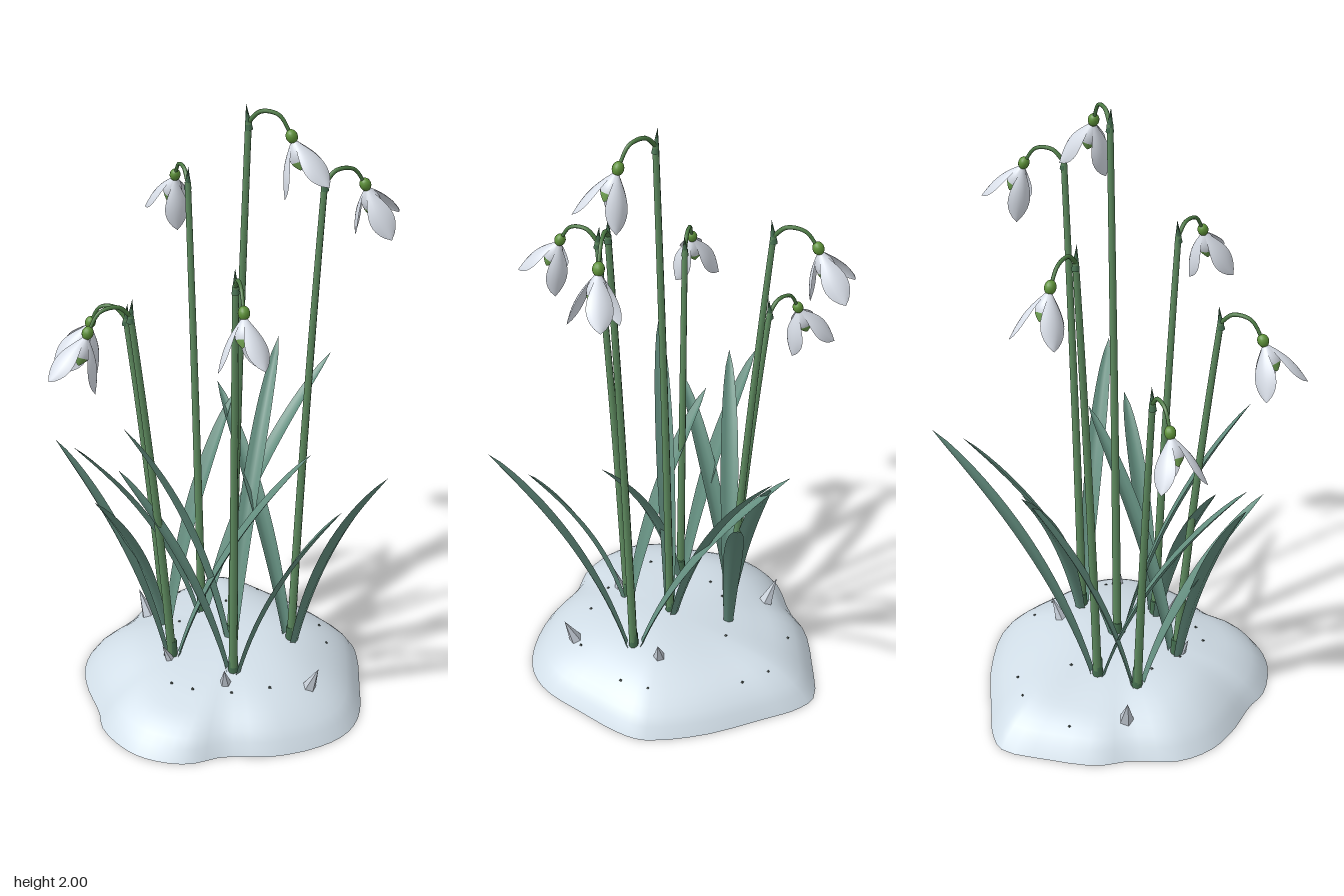
import * as THREE from 'three';
import { mergeVertices } from 'three/addons/utils/BufferGeometryUtils.js';

const mat = (name, color, side = THREE.FrontSide) => {
  const m = new THREE.MeshStandardMaterial({ color, side });
  m.name = name;
  return m;
};
const V = (x, y, z) => new THREE.Vector3(x, y, z);

// Smooth surface from a rule: f(u, v) gives a point for u, v in 0..1
function sheet(f, nu, nv) {
  const g = new THREE.PlaneGeometry(1, 1, nu, nv);
  const p = g.attributes.position;
  for (let i = 0; i < p.count; i++) {
    const q = f(p.getX(i) + 0.5, p.getY(i) + 0.5);
    p.setXYZ(i, q.x, q.y, q.z);
  }
  g.deleteAttribute('uv');
  g.deleteAttribute('normal');
  const merged = mergeVertices(g, 1e-5);
  merged.computeVertexNormals();
  return merged;
}

// Tube whose radius runs from r0 to r1
function taperedTube(curve, r0, r1, segs, sides) {
  const g = new THREE.TubeGeometry(curve, segs, 1, sides);
  const p = g.attributes.position;
  for (let i = 0; i < p.count; i++) {
    const t = Math.floor(i / (sides + 1)) / segs;
    const c = curve.getPointAt(t);
    const q = V().fromBufferAttribute(p, i).sub(c).multiplyScalar(r0 + (r1 - r0) * t).add(c);
    p.setXYZ(i, q.x, q.y, q.z);
  }
  return g;
}

function flat(geometry) {
  const g = geometry.index ? geometry.toNonIndexed() : geometry;
  g.computeVertexNormals();
  return g;
}

// Snow mound: an irregular outline drawn in towards a domed centre
const rim = new THREE.CatmullRomCurve3([
  [-0.41, -0.37], [-0.33, -0.405], [-0.23, -0.415], [0, -0.43], [0.19, -0.4], [0.26, -0.35],
  [0.36, -0.23], [0.455, -0.1], [0.48, 0], [0.455, 0.11], [0.37, 0.245], [0.25, 0.35],
  [0.19, 0.445], [0.095, 0.505], [0, 0.525], [-0.135, 0.5], [-0.21, 0.445], [-0.32, 0.385],
  [-0.41, 0.31], [-0.465, 0.2], [-0.465, 0.045], [-0.485, -0.06], [-0.455, -0.23],
].map(([x, z]) => V(x, 0, z)), true);

function moundPoint(t, f) {
  const p = rim.getPoint(t % 1).multiplyScalar(f);
  const dome = 0.158 * Math.pow(1 - Math.pow(f, 3.2), 0.8);
  const bumps = 0.012 * Math.sin(p.x * 9 + 1) * Math.cos(p.z * 8 + 0.6) * Math.min(1, (1 - f) * 3);
  p.y = Math.max(0, dome + bumps);
  return p;
}

// Strap leaf: bends outward, folded along the midrib, pointed at the tip
function leafGeometry(base, tip) {
  const d = V().subVectors(tip, base);
  const curve = new THREE.QuadraticBezierCurve3(
    base, V(base.x + d.x * 0.27, base.y + d.y * 0.56, base.z + d.z * 0.27), tip);
  const side = V(-d.z, 0, d.x).normalize();
  return sheet((u, v) => {
    const t = curve.getTangent(u);
    const normal = V().crossVectors(side, t).normalize();
    if (normal.y < 0) normal.negate();
    const grow = 0.015 + 0.016 * Math.sin(Math.min(1, u / 0.65) * Math.PI / 2);
    const half = grow * Math.pow(Math.max(0, 1 - Math.pow(u, 6)), 0.75);
    const s = 2 * v - 1;
    return curve.getPoint(u).addScaledVector(side, s * half)
      .addScaledVector(normal, (Math.abs(s) - 0.5) * half * 0.45);
  }, 18, 4);
}

// Spoon-shaped petal hanging down -y and spreading towards +x
function petalGeometry(length, width, spread, from = 0, lift = 0) {
  return sheet((u, v) => {
    const s = from + u * (1 - from), k = 2 * v - 1;
    const w = 0.5 * width * (0.12 * (1 - s) + Math.pow(Math.sin(Math.PI * Math.pow(s, 1.4)), 0.8) || 0);
    const bulge = 0.012 * Math.sin(Math.PI * s) - 0.35 * w * k * k + lift;
    return V(0.006 + length * s * Math.sin(spread) + bulge * Math.cos(spread),
      -0.012 - length * s * Math.cos(spread) + bulge * Math.sin(spread), w * k);
  }, 12, 6);
}

// base x,z | stem top | seed pod | petal roll in degrees | two leaf tips
const plants = [
  { base: [-0.2, -0.06], top: [-0.283, 1.67, -0.112], pod: [-0.396, 1.65, -0.178], roll: 60,
    tips: [[-0.055, 0.995, -0.57], [-0.32, 0.94, 0.39]] },
  { base: [0.15, -0.115], top: [0.208, 1.77, -0.155], pod: [0.263, 1.745, -0.278], roll: -20,
    tips: [[0.57, 0.985, -0.022], [-0.315, 0.91, -0.282]] },
  { base: [-0.01, 0.005], top: [0.037, 1.95, -0.017], pod: [0.155, 1.92, -0.065], roll: 35,
    tips: [[-0.195, 1.05, -0.46], [-0.08, 1.1, 0.41]] },
  { base: [-0.25, 0.07], top: [-0.358, 1.265, 0.103], pod: [-0.468, 1.235, 0.15], roll: 60,
    tips: [[-0.25, 0.88, -0.285], [-0.17, 0.83, 0.455]] },
  { base: [-0.1, 0.2], top: [-0.138, 1.41, 0.305], pod: [-0.195, 1.38, 0.425], roll: -20,
    tips: [[-0.41, 0.93, 0.38], [0.235, 0.91, -0.09]] },
  { base: [0.11, 0.135], top: [0.165, 1.55, 0.19], pod: [0.263, 1.525, 0.27], roll: -25,
    tips: [[0.445, 0.84, 0.03], [-0.215, 0.86, 0.305]] },
];

export function createModel() {
  const model = new THREE.Group();
  model.name = 'snowdropClump';
  const snow = mat('snow', 0xd9e6f0, THREE.DoubleSide);
  const crystal = mat('ice crystal', 0xc8d0da);
  const soil = mat('soil', 0x3a4640);
  const leaf = mat('leaf', 0x648f80, THREE.DoubleSide);
  const stemGreen = mat('stem', 0x5f8c60);
  const sheath = mat('sheath', 0x456f50);
  const pedicelGreen = mat('flower stalk', 0x4c7a44);
  const podGreen = mat('seed pod', 0x5d9138);
  const white = mat('petal', 0xe4eaf4, THREE.DoubleSide);
  const mark = mat('petal mark', 0x6a9a4c, THREE.DoubleSide);

  const add = (parent, name, geometry, material, pos) => {
    const m = new THREE.Mesh(geometry, material);
    m.name = name;
    if (pos) m.position.copy(pos);
    parent.add(m);
    return m;
  };

  add(model, 'snowMound', sheet((u, v) => moundPoint(u, 1 - v), 64, 18), snow);

  // Shards of ice leaning outward
  for (const [x, y, z, h, r] of [[-0.385, 0.135, 0.035, 0.11, 0.026], [0.34, 0.15, 0.005, 0.11, 0.026],
    [0.085, 0.18, -0.2, 0.11, 0.026], [0.13, 0.165, 0.2, 0.09, 0.022], [-0.1, 0.17, 0.23, 0.07, 0.016]]) {
    const s = add(model, 'iceShard', flat(new THREE.ConeGeometry(r, h, 5)), crystal, V(x, y, z));
    s.quaternion.setFromUnitVectors(V(0, 1, 0), V(x, 0, z).setLength(0.4).setY(1).normalize());
  }

  // Crumbs of soil on the snow
  const crumb = flat(new THREE.OctahedronGeometry(0.006));
  for (let i = 0; i < 14; i++) {
    add(model, 'soilCrumb', crumb, soil, moundPoint(i * 0.618, 0.4 + 0.45 * ((i * 0.37) % 1)));
  }

  const outerPetal = petalGeometry(0.168, 0.072, 0.48);
  const innerPetal = petalGeometry(0.085, 0.045, 0.2);
  const innerMark = petalGeometry(0.085, 0.04, 0.2, 0.72, 0.002);
  const podGeometry = new THREE.SphereGeometry(0.018, 14, 10).scale(0.95, 1.15, 0.95);

  for (const { base, top, pod, roll, tips } of plants) {
    const plant = new THREE.Group();
    plant.name = 'plant';
    model.add(plant);
    const b = V(base[0], 0.11, base[1]), t = V(...top), o = V(...pod);
    const out = V(o.x - t.x, 0, o.z - t.z).normalize();

    // Base sheath and leaning stem
    add(plant, 'baseSheath', new THREE.CylinderGeometry(0.015, 0.019, 0.1, 8), sheath, V(b.x, 0.155, b.z));
    const mid = b.clone().lerp(t, 0.5);
    mid.x += (b.x - t.x) * 0.15;
    mid.z += (b.z - t.z) * 0.15;
    add(plant, 'stem', taperedTube(new THREE.QuadraticBezierCurve3(b, mid, t), 0.0145, 0.0095, 16, 8), stemGreen);

    // Pointed spathe above the stem
    const spathe = add(plant, 'spathe', new THREE.ConeGeometry(0.012, 0.075, 8), sheath,
      t.clone().add(V(0, 0.014, 0)).addScaledVector(out, -0.003));
    spathe.quaternion.setFromUnitVectors(V(0, 1, 0), V(0, 1, 0).addScaledVector(out, -0.12).normalize());

    // Arched flower stalk
    const a1 = t.clone().lerp(o, 0.28), a2 = t.clone().lerp(o, 0.7);
    a1.y = t.y + 0.033;
    a2.y = t.y + 0.028;
    const arch = new THREE.CatmullRomCurve3([t, a1, a2, o]);
    add(plant, 'flowerStalk', taperedTube(arch, 0.007, 0.005, 18, 8), pedicelGreen);

    // Nodding flower, local +x facing away from the stem
    const flower = new THREE.Group();
    flower.name = 'flower';
    flower.position.copy(o);
    flower.rotation.set(0, Math.atan2(-out.z, out.x), 0.4);
    plant.add(flower);
    add(flower, 'seedPod', podGeometry, podGreen);
    for (let i = 0; i < 3; i++) {
      const angle = -THREE.MathUtils.degToRad(roll + i * 120);
      add(flower, 'outerPetal', outerPetal, white).rotation.y = angle;
      add(flower, 'innerPetal', innerPetal, white).rotation.y = angle + Math.PI / 3;
      add(flower, 'innerPetalMark', innerMark, mark).rotation.y = angle + Math.PI / 3;
    }

    for (const tip of tips) {
      const p = V(...tip);
      const start = b.clone().addScaledVector(V(p.x - b.x, 0, p.z - b.z).normalize(), 0.012);
      add(plant, 'leaf', leafGeometry(start, p), leaf);
    }
  }
  return model;
}
